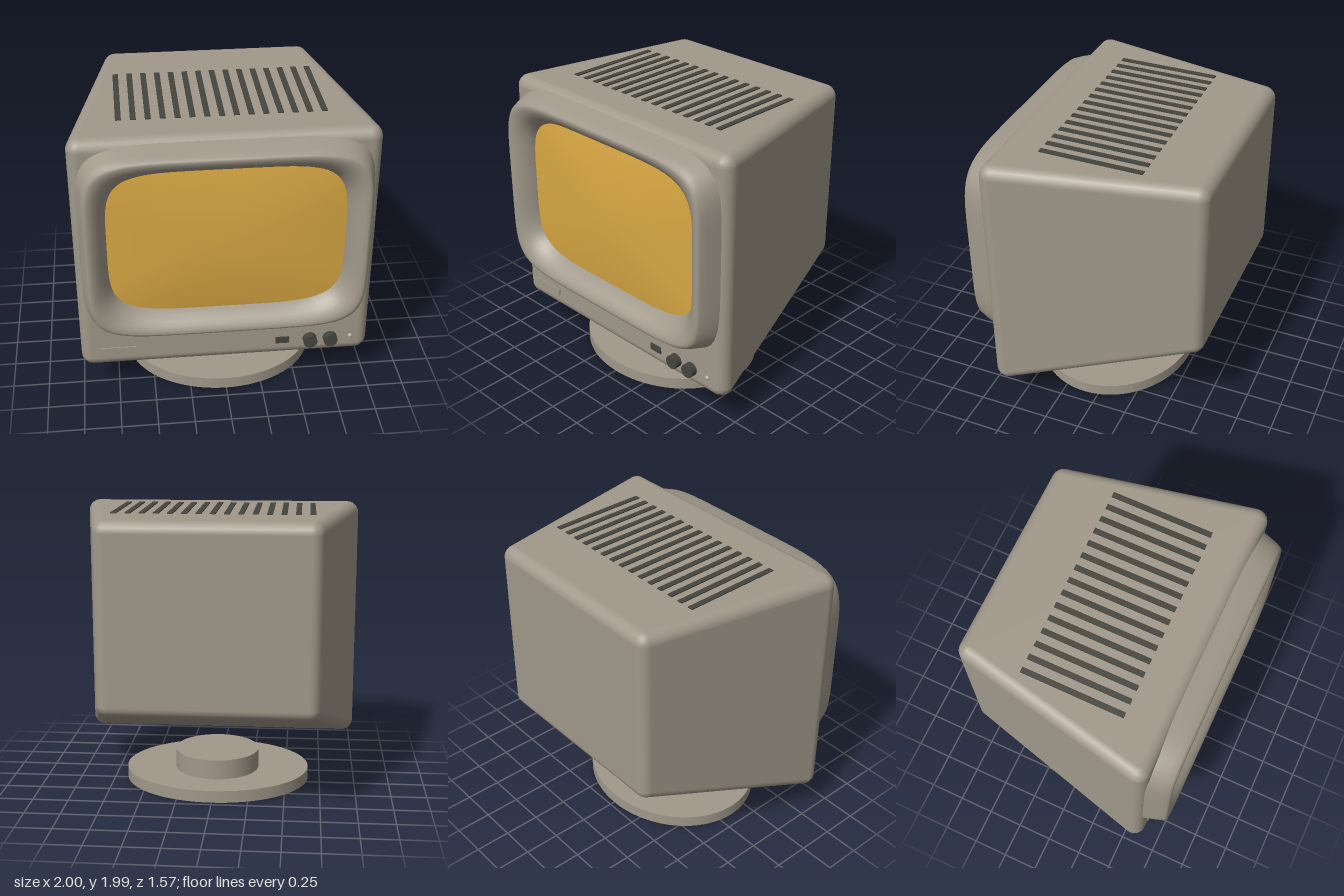
import * as THREE from 'three';
import { ConvexGeometry } from 'three/addons/geometries/ConvexGeometry.js';

const material = (name, color, side = THREE.FrontSide) => {
  const m = new THREE.MeshStandardMaterial({ color, side });
  m.name = name;
  return m;
};

// Tapered housing: a hull around eight rounded corners, with exact smooth normals
function housingGeometry() {
  const r = 0.08, steps = 6;
  const front = { z: 0.56, x: 0.92, bottom: 0.315 };
  const back = { z: -0.705, x: 0.66, bottom: 0.762 };
  const depth = front.z - back.z, top = 1.905;
  const centers = [], points = [];
  for (const end of [front, back]) for (const sx of [-1, 1]) for (const upper of [true, false]) {
    const c = new THREE.Vector3(sx * end.x, upper ? top : end.bottom, end.z);
    const nx = new THREE.Vector3(sx * depth, 0, back.x - front.x).normalize();
    const ny = upper ? new THREE.Vector3(0, 1, 0)
      : new THREE.Vector3(0, -depth, front.bottom - back.bottom).normalize();
    const nz = new THREE.Vector3(0, 0, end === front ? 1 : -1);
    centers.push(c);
    for (let i = 0; i <= steps; i++) for (let j = 0; j <= steps - i; j++) {
      const d = nx.clone().multiplyScalar(i).addScaledVector(ny, j)
        .addScaledVector(nz, steps - i - j).normalize();
      points.push(d.multiplyScalar(r).add(c));
    }
  }
  const geo = new ConvexGeometry(points);
  const pos = geo.attributes.position, normal = geo.attributes.normal;
  const p = new THREE.Vector3();
  for (let i = 0; i < pos.count; i++) {
    p.fromBufferAttribute(pos, i);
    let near = centers[0];
    for (const c of centers) if (c.distanceToSquared(p) < near.distanceToSquared(p)) near = c;
    p.sub(near).normalize();
    normal.setXYZ(i, p.x, p.y, p.z);
  }
  return geo;
}

// Skin over rounded-rectangle rings; each ring is { w, h, z, n } with half sizes
function loft(rings, segments = 128) {
  const verts = [], index = [];
  rings.forEach(({ w, h, z, n }, j) => {
    for (let i = 0; i < segments; i++) {
      const a = (i / segments) * Math.PI * 2, c = Math.cos(a), s = Math.sin(a);
      const k = (Math.abs(c) ** n + Math.abs(s) ** n) ** (-1 / n);
      verts.push(w * k * c, h * k * s, z);
      if (j === rings.length - 1) continue;
      const p = j * segments + i, q = j * segments + (i + 1) % segments;
      index.push(p, q, p + segments, q, q + segments, p + segments);
    }
  });
  const geo = new THREE.BufferGeometry();
  geo.setAttribute('position', new THREE.Float32BufferAttribute(verts, 3));
  geo.setIndex(index);
  geo.computeVertexNormals();
  return geo;
}

export function createModel() {
  const group = new THREE.Group();
  const casing = material('casing', 0xa0988a);
  const bezelMat = material('bezel casing', 0xa0988a, THREE.DoubleSide);
  const dark = material('dark plastic', 0x45453f);
  const amber = material('amber glass', 0xd9a843);
  const lampMat = material('lamp', 0xb5ad9c);

  const add = (name, geo, mat, x, y, z, parent = group) => {
    const mesh = new THREE.Mesh(geo, mat);
    mesh.name = name;
    mesh.position.set(x, y, z);
    parent.add(mesh);
    return mesh;
  };

  add('housing', housingGeometry(), casing, 0, 0, 0);

  // Raised bezel curving in towards the screen: [inset, z]
  const profile = [[-0.01, 0.59], [0, 0.64], [0.022, 0.73], [0.036, 0.772], [0.046, 0.785],
    [0.06, 0.789], [0.08, 0.784], [0.105, 0.77], [0.13, 0.746], [0.152, 0.715],
    [0.168, 0.685], [0.178, 0.655]];
  const screenY = 1.245;
  add('bezel', loft(profile.map(([t, z]) => ({
    w: 0.958 - t, h: 0.705 - t, z, n: 6.5 - Math.max(t, 0) * 9.5,
  }))), bezelMat, 0, screenY, 0);

  // Gently domed screen
  const dome = [];
  for (let i = 0; i <= 12; i++) {
    const k = 1 - i / 12;
    dome.push({ w: 0.782 * k, h: 0.531 * k, z: 0.663 + 0.04 * (1 - k * k), n: 2 + 2.8 * k });
  }
  add('screen', loft(dome), amber, 0, screenY, 0);

  // Cooling slots on the top
  const vents = new THREE.Group();
  vents.name = 'vents';
  group.add(vents);
  const slot = new THREE.BoxGeometry(0.038, 0.016, 0.7);
  for (let i = -7; i <= 7; i++) add('vent', slot, dark, i * 0.095, 1.984, 0.003, vents);

  // Front controls
  const controlY = 0.375;
  const knob = new THREE.CylinderGeometry(0.048, 0.048, 0.06, 40).rotateX(Math.PI / 2);
  for (const x of [0.585, 0.727]) add('knob', knob, dark, x, controlY, 0.66);
  add('powerSwitch', new THREE.BoxGeometry(0.095, 0.05, 0.02), dark, 0.393, controlY, 0.639);
  add('lamp', new THREE.SphereGeometry(0.016, 20, 12), lampMat, 0.872, controlY, 0.64);
  add('blankPlate', new THREE.BoxGeometry(0.25, 0.05, 0.02), casing, -0.748, controlY, 0.638);

  // Stand: oval foot and swivel neck
  const foot = add('foot', new THREE.CylinderGeometry(1, 1, 0.085, 80), casing, 0, 0.0425, 0.103);
  foot.scale.set(0.665, 1, 0.567);
  add('neck', new THREE.CylinderGeometry(0.302, 0.302, 0.145, 64), casing, 0, 0.153, 0.072);

  return group;
}
